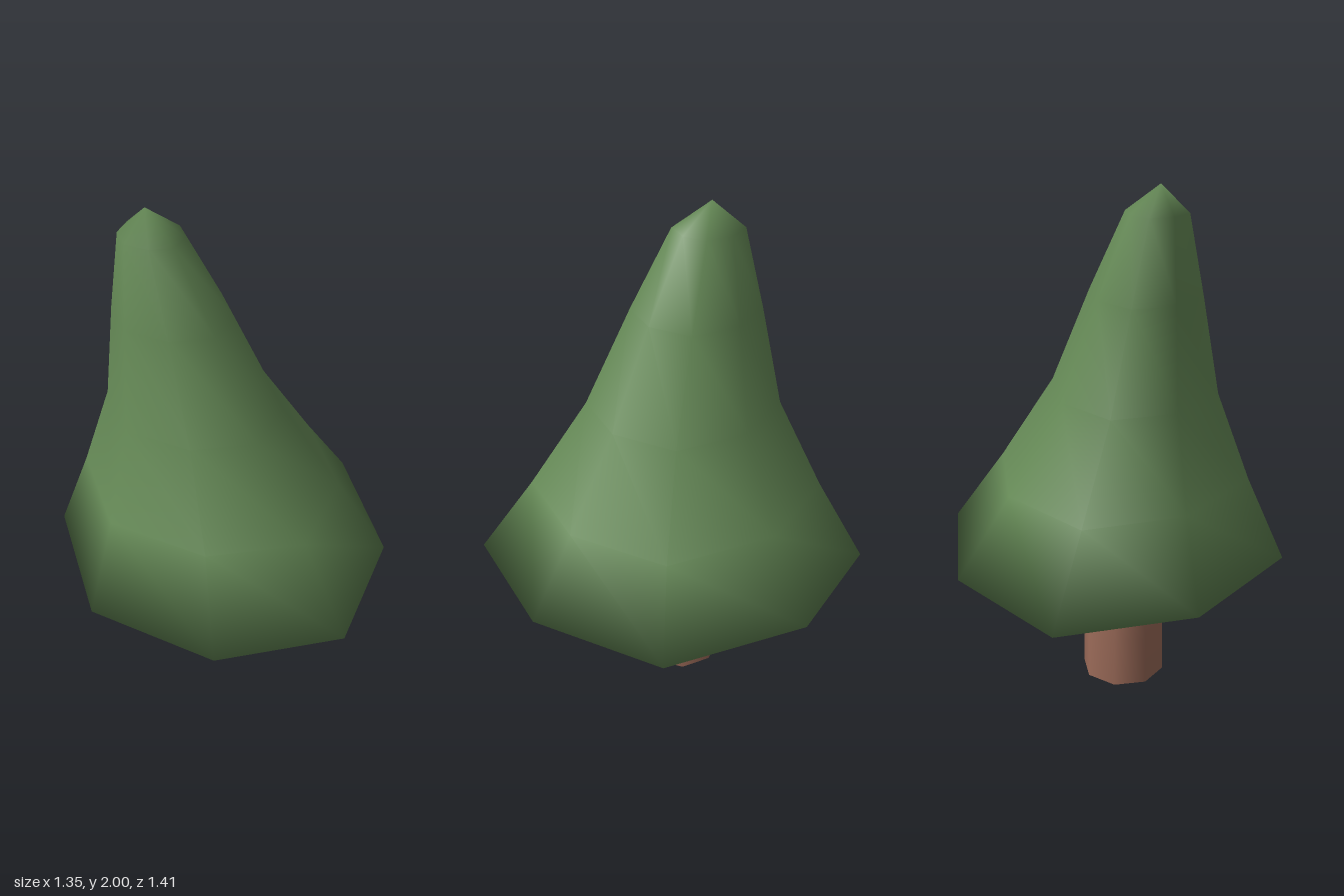
import * as THREE from 'three';

// Uneven eight-sided hem of the foliage: x, y, z
const HEM = [
  [-0.07, 0.565, -0.71], [0.48, 0.57, -0.50], [0.67, 0.56, 0.03], [0.53, 0.553, 0.55],
  [0.06, 0.53, 0.70], [-0.44, 0.53, 0.51], [-0.68, 0.53, -0.03], [-0.58, 0.545, -0.56],
];

// Rings above the hem: height, centre x and z, scale of the hem in x and z
const RINGS = [
  [0.87, -0.04, 0.01, 0.755, 0.72],
  [1.22, -0.10, 0.025, 0.50, 0.46],
  [1.60, -0.175, 0.03, 0.333, 0.30],
  [1.90, -0.24, 0.035, 0.18, 0.165],
];

function foliageGeometry() {
  const n = HEM.length;
  const positions = HEM.flat();
  for (const [y, cx, cz, sx, sz] of RINGS) {
    for (const [x, , z] of HEM) positions.push(cx + x * sx, y, cz + z * sz);
  }
  const tip = positions.length / 3;
  const base = tip + 1;
  positions.push(-0.26, 2, 0.035, 0, 0.545, 0);

  const index = [];
  const top = RINGS.length * n;
  for (let i = 0; i < n; i++) {
    const j = (i + 1) % n;
    // sides
    for (let k = 0; k < top; k += n) {
      index.push(k + i, k + n + i, k + n + j, k + i, k + n + j, k + j);
    }
    // tip and underside
    index.push(top + i, tip, top + j, i, j, base);
  }
  const geometry = new THREE.BufferGeometry();
  geometry.setAttribute('position', new THREE.Float32BufferAttribute(positions, 3));
  geometry.setIndex(index);
  geometry.computeVertexNormals();
  return geometry;
}

export function createModel() {
  const tree = new THREE.Group();
  tree.name = 'tree';

  // Leaning foliage cone
  const foliage = new THREE.Mesh(
    foliageGeometry(),
    new THREE.MeshStandardMaterial({ color: 0x648855 }),
  );
  foliage.name = 'foliage';

  // Tapering trunk, open at the foot
  const profile = [[0.166, 0], [0.164, 0.2], [0.147, 0.42], [0.125, 0.54], [0.11, 0.6]];
  const trunk = new THREE.Mesh(
    new THREE.LatheGeometry(profile.map(([r, y]) => new THREE.Vector2(r, y)), 8),
    new THREE.MeshStandardMaterial({ color: 0x9a6a58, side: THREE.DoubleSide }),
  );
  trunk.name = 'trunk';
  trunk.position.set(-0.078, 0, -0.01);
  trunk.rotation.y = 0.08;

  tree.add(foliage, trunk);
  return tree;
}
